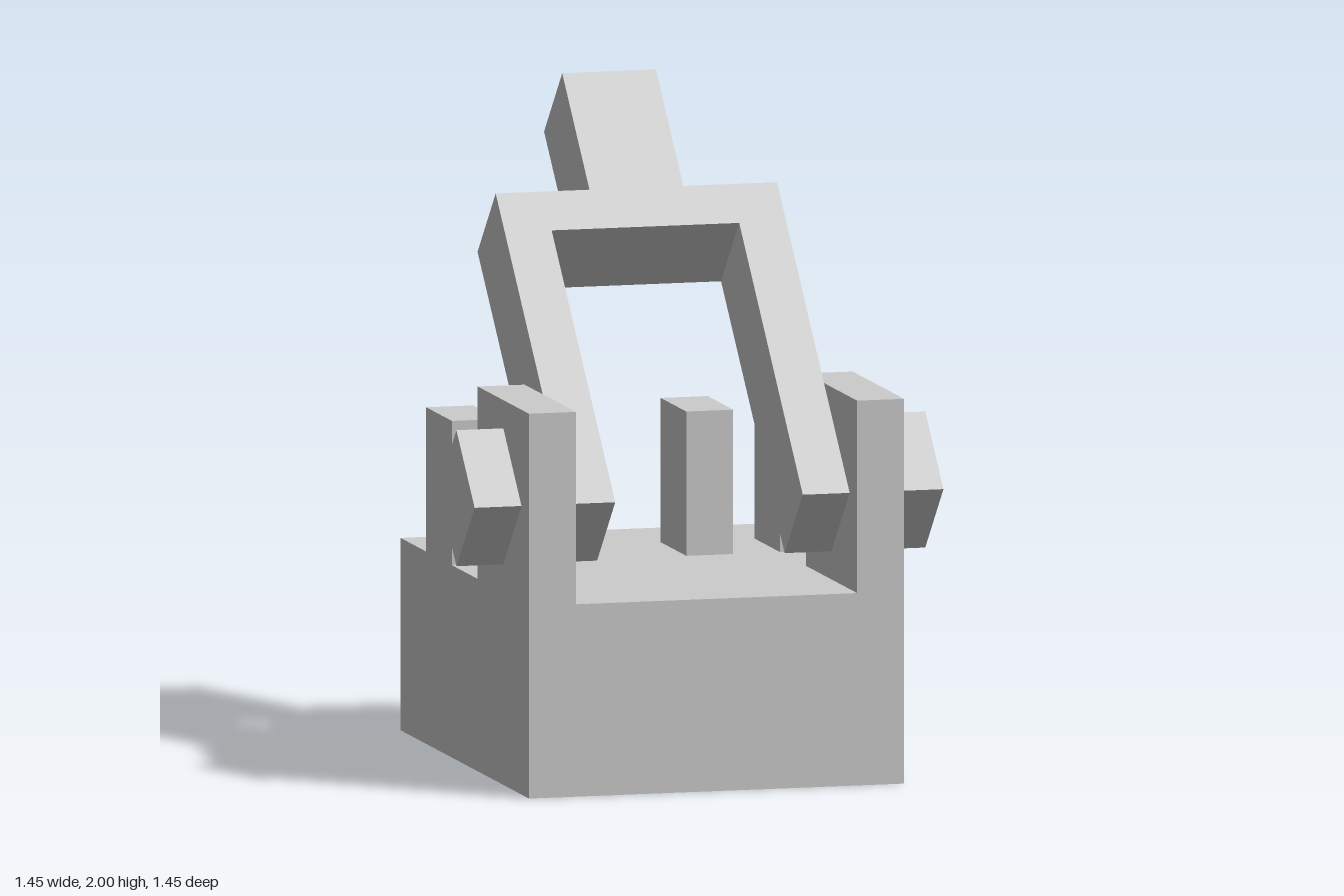
import * as THREE from 'three';

const U = 0.14516; // modelling grid unit

export function createModel() {
  const model = new THREE.Group();
  model.name = 'leverSwitch';
  const material = new THREE.MeshStandardMaterial({ color: 0xcccccc, flatShading: true });

  // Box given by its min and max corners in grid units
  function box(name, [x0, y0, z0], [x1, y1, z1], parent = model) {
    const geometry = new THREE.BoxGeometry((x1 - x0) * U, (y1 - y0) * U, (z1 - z0) * U);
    const mesh = new THREE.Mesh(geometry, material);
    mesh.position.set((x0 + x1) * U / 2, (y0 + y1) * U / 2, (z0 + z1) * U / 2);
    mesh.name = name;
    parent.add(mesh);
    return mesh;
  }

  // Base block
  box('base', [-4, 0, -5], [4, 4, 5]);

  // Pivot cheeks at the front, on both sides
  box('leftCheek', [3, 4, 1], [4, 8, 5]);
  box('rightCheek', [-4, 4, 1], [-3, 8, 5]);

  // Row of four contact posts
  for (const x of [-4, -2, 1, 3]) box('contactPost', [x, 4, -3], [x + 1, 7, -1]);

  // Lever, leaning back about its pivot
  const lever = new THREE.Group();
  lever.name = 'lever';
  lever.position.set(0, 6 * U, 3 * U);
  lever.rotation.x = -Math.PI / 4;
  model.add(lever);

  // Forked yoke with its handle, cut from one slab
  const half = [[2, -1], [3, -1], [3, 7], [1, 7], [1, 10]];
  const outline = [
    ...half,
    ...half.map(([x, y]) => [-x, y]).reverse(),
    [-2, 6], [2, 6],
  ].map(([x, y]) => new THREE.Vector2(x * U, y * U));
  const slab = new THREE.ExtrudeGeometry(new THREE.Shape(outline), { depth: 2 * U, bevelEnabled: false });
  slab.translate(0, 0, -U);
  const yoke = new THREE.Mesh(slab, material);
  yoke.name = 'yokeAndHandle';
  lever.add(yoke);

  // Square pivot pins through the cheeks
  box('leftPin', [3, -1, -1], [5, 1, 1], lever);
  box('rightPin', [-5, -1, -1], [-3, 1, 1], lever);

  return model;
}
